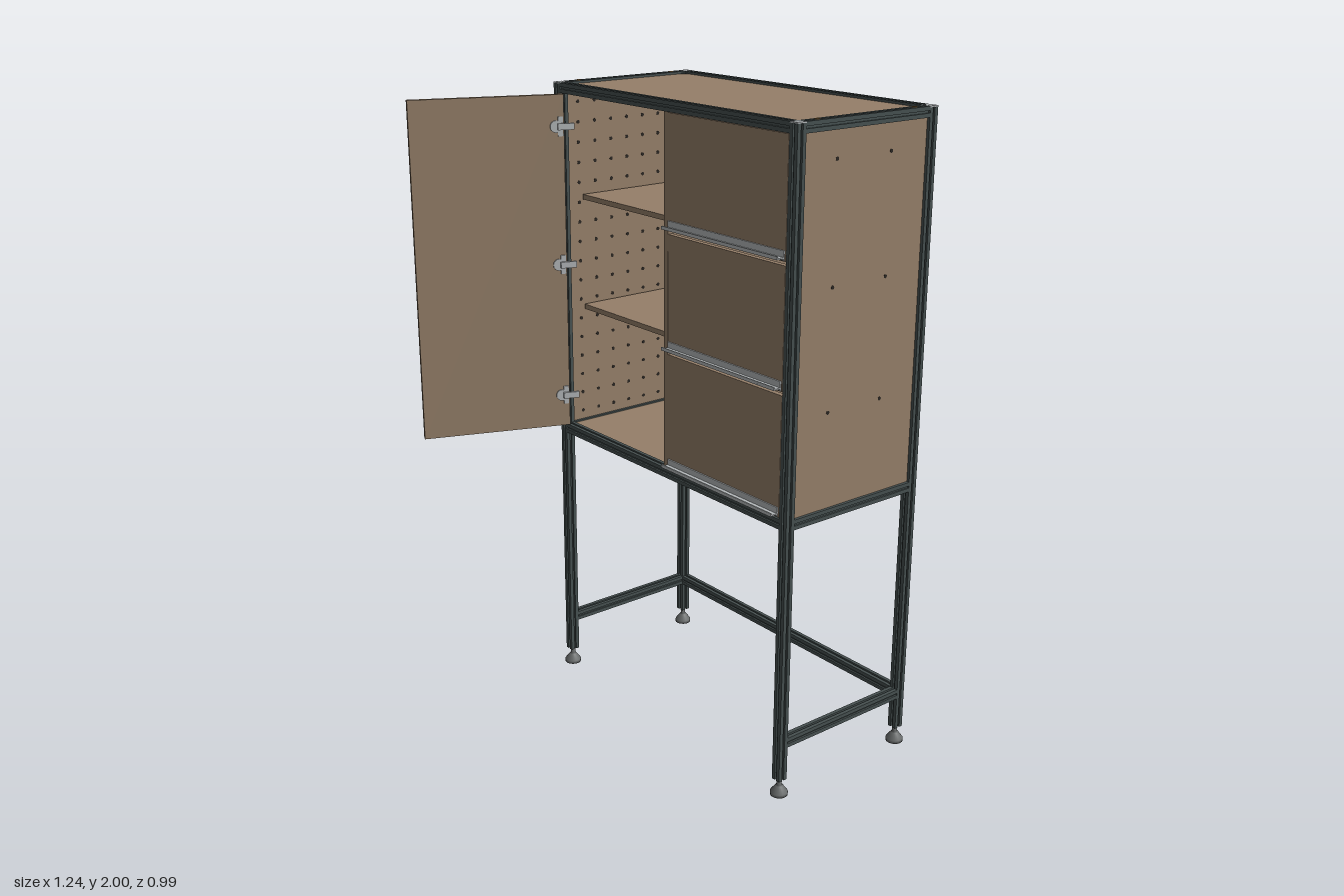
import * as THREE from 'three';

export function createModel() {
  const root = new THREE.Group();
  root.name = 'workshopCabinet';
  const mat = (name, color) => {
    const m = new THREE.MeshStandardMaterial({ color });
    m.name = name;
    return m;
  };
  const frame = mat('darkFrame', 0x465050);
  const board = mat('brownBoard', 0x957f69);
  const steel = mat('lightSteel', 0xb4b8ba);
  const footMat = mat('footGrey', 0x686b6b);
  const dark = mat('darkDetail', 0x2a2622);
  const brass = mat('brassScrew', 0x9a7440);

  const add = (name, geo, m, x, y, z, parent = root) => {
    const mesh = new THREE.Mesh(geo, m);
    mesh.name = name;
    mesh.position.set(x, y, z);
    parent.add(mesh);
    return mesh;
  };
  // box given by its limits on each axis
  const box = (name, m, [x0, x1], [y0, y1], [z0, z1], parent = root) =>
    add(name, new THREE.BoxGeometry(x1 - x0, y1 - y0, z1 - z0), m,
      (x0 + x1) / 2, (y0 + y1) / 2, (z0 + z1) / 2, parent);

  // slotted square profile, one groove on each side
  const H = 0.0155, S = 0.0035, D = 0.006;
  const pts = [];
  for (let i = 0; i < 4; i++) {
    const a = i * Math.PI / 2;
    for (const [x, y] of [[-H, -H], [-S, -H], [-S, -H + D], [S, -H + D], [S, -H]])
      pts.push(new THREE.Vector2(x * Math.cos(a) - y * Math.sin(a), x * Math.sin(a) + y * Math.cos(a)));
  }
  const profile = new THREE.Shape(pts);
  const bar = (name, axis, from, to, x, y, z) => {
    const geo = new THREE.ExtrudeGeometry(profile, { depth: to - from, bevelEnabled: false });
    geo.translate(0, 0, from);
    if (axis === 'x') geo.rotateY(Math.PI / 2);
    if (axis === 'y') geo.rotateX(-Math.PI / 2);
    return add(name, geo, frame, x, y, z);
  };

  const XL = -0.479, XR = 0.59, ZF = 0.0245, ZB = -0.472;
  const LOW = 0.175, MID = 0.875, TOP = 1.984;

  // posts with caps and levelling feet
  const footGeo = new THREE.LatheGeometry([
    [0, 0], [0.027, 0], [0.027, 0.01], [0.012, 0.03], [0.008, 0.032], [0.008, 0.056], [0, 0.056],
  ].map(([r, y]) => new THREE.Vector2(r, y)), 20);
  for (const x of [XL, XR]) for (const z of [ZF, ZB]) {
    bar('post', 'y', 0.052, 1.996, x, 0, z);
    add('postCap', new THREE.BoxGeometry(0.031, 0.004, 0.031), steel, x, 1.998, z);
    add('foot', footGeo, footMat, x, 0, z);
  }

  // horizontal rails; the low front is left open
  for (const y of [MID, TOP]) bar('frontRail', 'x', XL + H, XR - H, 0, y, ZF);
  for (const y of [LOW, MID, TOP]) {
    bar('backRail', 'x', XL + H, XR - H, 0, y, ZB);
    for (const x of [XL, XR]) bar('sideRail', 'z', ZB + H, ZF - H, x, y, 0);
  }
  bar('floorRail', 'z', ZB + H, ZF - H, 0.059, MID - 0.008, 0);

  // screws on the top side rails
  for (const x of [XL, XR]) for (const z of [-0.41, -0.043])
    add('railScrew', new THREE.CylinderGeometry(0.008, 0.008, 0.004, 12), brass, x, TOP + H, z);

  // carcass boards set into the frame
  const bx = [XL + 0.01, XR - 0.01], bz = [ZB + 0.01, ZF - 0.01], by = [MID + 0.01, TOP - 0.01];
  box('topBoard', board, bx, [1.979, 1.992], bz);
  box('floorBoard', board, bx, [0.872, 0.886], bz);
  box('backBoard', board, bx, by, [ZB - 0.006, ZB + 0.006]);
  box('leftBoard', board, [XR - 0.006, XR + 0.006], by, bz);
  box('rightBoard', board, [XL - 0.006, XL + 0.006], by, bz);
  box('divider', board, [0.05, 0.068], [0.886, 1.972], [ZB + 0.007, 0.037]);

  // corner gussets on the top board
  for (const [x, sx] of [[XL + H, 1], [XR - H, -1]]) for (const [z, sz] of [[ZB + H, 1], [ZF - H, -1]]) {
    const g = add('cornerGusset', new THREE.BoxGeometry(0.026, 0.004, 0.01), frame, x + sx * 0.005, 1.993, z + sz * 0.005);
    g.rotation.y = sx * sz * Math.PI / 4;
  }

  // shelves of the open side
  for (const y of [1.278, 1.637])
    box('shelf', board, [XL + 0.017, 0.05], [y - 0.008, y + 0.008], [ZB + 0.007, -0.04]);

  // three lift-up flaps, each with a bent steel pull along its lower edge
  for (const [y0, y1] of [[0.895, 1.255], [1.266, 1.618], [1.629, 1.967]]) {
    box('flap', board, [0.071, 0.572], [y0, y1], [0.022, 0.039]);
    box('pullPlate', steel, [0.075, 0.568], [y0 + 0.003, y0 + 0.03], [0.039, 0.043]);
    box('pullLip', steel, [0.075, 0.568], [y0 + 0.008, y0 + 0.012], [0.043, 0.067]);
    box('pullEdge', steel, [0.075, 0.568], [y0 + 0.008, y0 + 0.018], [0.063, 0.067]);
  }

  // fixing bolts on the plain side
  const dot = (name, r, x, y, z) => {
    const geo = new THREE.CylinderGeometry(r, r, 0.0135, 8);
    geo.rotateZ(Math.PI / 2);
    add(name, geo, dark, x, y, z);
  };
  for (const y of [1.18, 1.54, 1.89]) for (const z of [-0.115, -0.32])
    dot('sideBolt', 0.006, XR, y, z);

  // peg holes on the perforated side
  for (let i = 0; i < 17; i++) for (let j = 0; j < 7; j++)
    dot('pegHole', 0.006, XL, 0.92 + i * 0.0635, -0.415 + j * 0.0635);

  // open door, swung about its hinge edge
  const door = new THREE.Group();
  door.name = 'door';
  door.position.set(-0.447, 0, 0.04);
  door.rotation.y = -1.932;
  root.add(door);
  box('doorPanel', board, [0, 0.48], [0.895, 1.967], [-0.009, 0.009], door);
  box('doorPull', dark, [0.452, 0.476], [1.385, 1.475], [0.0085, 0.0115], door);
  for (const y of [1.0, 1.435, 1.87]) {
    const cup = new THREE.CylinderGeometry(0.019, 0.019, 0.006, 16);
    cup.rotateX(Math.PI / 2);
    add('hingeCup', cup, steel, 0.026, y, -0.011, door);
    box('hingePlate', steel, [0.004, 0.02], [y - 0.03, y + 0.03], [-0.013, -0.009], door);
    box('hingeArm', steel, [-0.03, 0.022], [y - 0.01, y + 0.01], [-0.022, -0.012], door);
  }

  return root;
}
